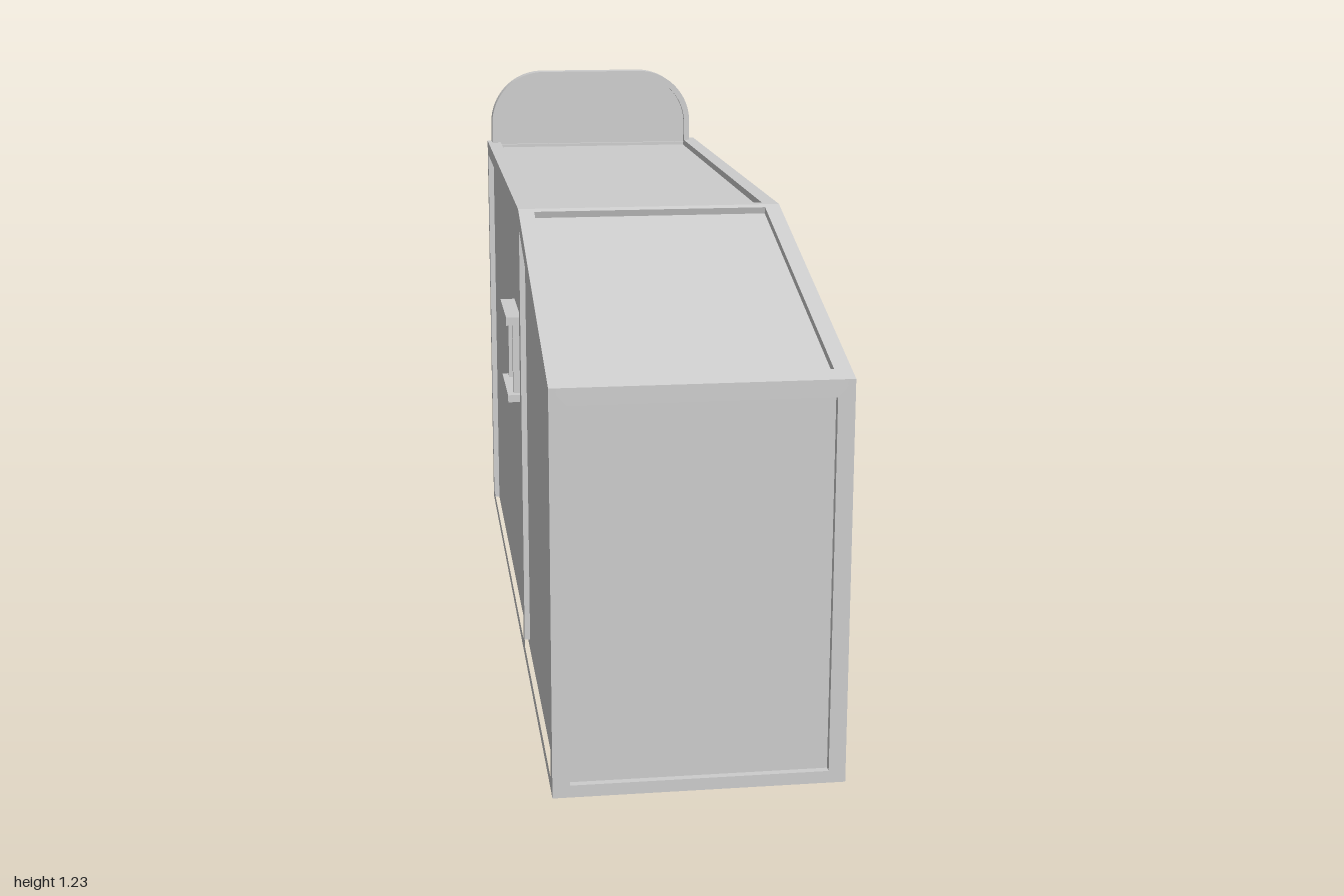
import * as THREE from 'three';

const mat = new THREE.MeshStandardMaterial({ color: 0xcccccc, flatShading: true });
const W = 0.29;      // half width of the building
const D = 0.015;     // depth of the recessed panels
const BACK = -0.973;

function add(parent, name, geometry, x = 0, y = 0, z = 0) {
  const mesh = new THREE.Mesh(geometry, mat);
  mesh.name = name;
  mesh.position.set(x, y, z);
  parent.add(mesh);
  return mesh;
}

const poly = pts => new THREE.Shape(pts.map(p => new THREE.Vector2(p[0], p[1])));
const rect = (x0, y0, x1, y1) => poly([[x0, y0], [x1, y0], [x1, y1], [x0, y1]]);

function extrude(shape, depth, holes = []) {
  shape.holes.push(...holes);
  return new THREE.ExtrudeGeometry(shape, { depth, bevelEnabled: false, curveSegments: 10 });
}

// Outline given as [z, y], extruded along +x
const sideways = (pts, depth, holes = []) =>
  extrude(poly(pts.map(([z, y]) => [-z, y])), depth,
    holes.map(h => poly(h.map(([z, y]) => [-z, y])))).rotateY(Math.PI / 2);

// Window with two sills and two jambs, wall plane at local z = 0
function makeWindow(name) {
  const g = new THREE.Group();
  g.name = name;
  add(g, 'topLedge', new THREE.BoxGeometry(0.215, 0.019, 0.034), 0, 0.744, 0.017);
  add(g, 'bottomSill', new THREE.BoxGeometry(0.215, 0.017, 0.032), 0, 0.56, 0.016);
  for (const s of [-1, 1])
    add(g, 'jamb', new THREE.BoxGeometry(0.018, 0.17, 0.018), s * 0.078, 0.652, 0.009);
  return g;
}

// Arch with a flat bottom, for the rooftop board
function arch(hw, top, r) {
  const s = new THREE.Shape();
  s.moveTo(-hw, 0);
  s.lineTo(hw, 0);
  s.lineTo(hw, top - r);
  s.absarc(hw - r, top - r, r, 0, Math.PI / 2, false);
  s.absarc(-hw + r, top - r, r, Math.PI / 2, Math.PI, false);
  s.lineTo(-hw, 0);
  return s;
}

export function createModel() {
  const model = new THREE.Group();
  model.name = 'building';

  // Solid core forming the recessed wall and roof surfaces
  const core = [[1 - D, 0], [1 - D, 0.809], [0.248, 1.035 - D], [BACK + D, 1.035 - D], [BACK + D, 0]];
  add(model, 'wallCore', sideways(core, 2 * (W - D)), -(W - D));

  // Side frames, two openings each
  const outline = [[1, 0], [1, 0.82], [0.25, 1.035], [BACK, 1.035], [BACK, 0]];
  const openings = [
    [[0.962, 0.025], [0.962, 0.787], [0.268, 0.993], [0.268, 0.025]],
    [[0.23, 0.025], [0.23, 1.0], [-0.94, 1.0], [-0.94, 0.025]],
  ];
  for (const [name, x] of [['leftFrame', W - D], ['rightFrame', -W]])
    add(model, name, sideways(outline, D, openings), x);

  // Front, slope, roof and back frames, one along each outline edge
  const names = ['frontFrame', 'slopeFrame', 'roofFrame', 'backFrame'];
  const margins = [[0.025, 0.035], [0.04, 0.016], [0.025, 0.033], [0.035, 0.025]];
  names.forEach((name, i) => {
    const [z0, y0] = outline[i], [z1, y1] = outline[i + 1];
    const len = Math.hypot(z1 - z0, y1 - y0);
    const [a, b] = margins[i];
    const geo = extrude(rect(-W, 0, W, len), D, [rect(-0.256, a, 0.256, len - b)]).translate(0, 0, -D);
    add(model, name, geo, 0, y0, z0).rotation.x = -Math.atan2(z0 - z1, y1 - y0);
  });

  // Windows: two on the left, one on the right, one at the back
  for (const [name, x, z, turn] of [
    ['leftFrontWindow', W - D, 0.782, Math.PI / 2],
    ['leftMiddleWindow', W - D, 0.437, Math.PI / 2],
    ['rightWindow', -W + D, -0.04, -Math.PI / 2],
    ['backWindow', -0.005, BACK + D, Math.PI],
  ]) {
    const win = makeWindow(name);
    win.position.set(x, 0, z);
    win.rotation.y = turn;
    model.add(win);
  }

  // Door with surround and knob
  const door = new THREE.Group();
  door.name = 'door';
  door.position.set(W - D, 0.365, -0.643);
  door.rotation.y = Math.PI / 2;
  add(door, 'doorSurround', extrude(rect(-0.086, 0, 0.086, 0.302), 0.014,
    [rect(-0.074, 0.01, 0.074, 0.286)]));
  add(door, 'doorLeaf', new THREE.BoxGeometry(0.15, 0.28, 0.004), 0, 0.148, 0.002);
  add(door, 'doorKnob', new THREE.SphereGeometry(0.006, 10, 8), 0.055, 0.152, 0.008);
  model.add(door);

  // Rounded board standing on the back edge of the roof
  const board = new THREE.Group();
  board.name = 'roofBoard';
  board.position.set(-0.004, 1.03, -0.968);
  add(board, 'boardRim', extrude(arch(0.275, 0.198, 0.142), 0.046, [arch(0.26, 0.182, 0.127)]));
  add(board, 'boardPanel', extrude(arch(0.262, 0.184, 0.129), 0.024), 0, 0, 0.011);
  model.add(board);

  return model;
}
